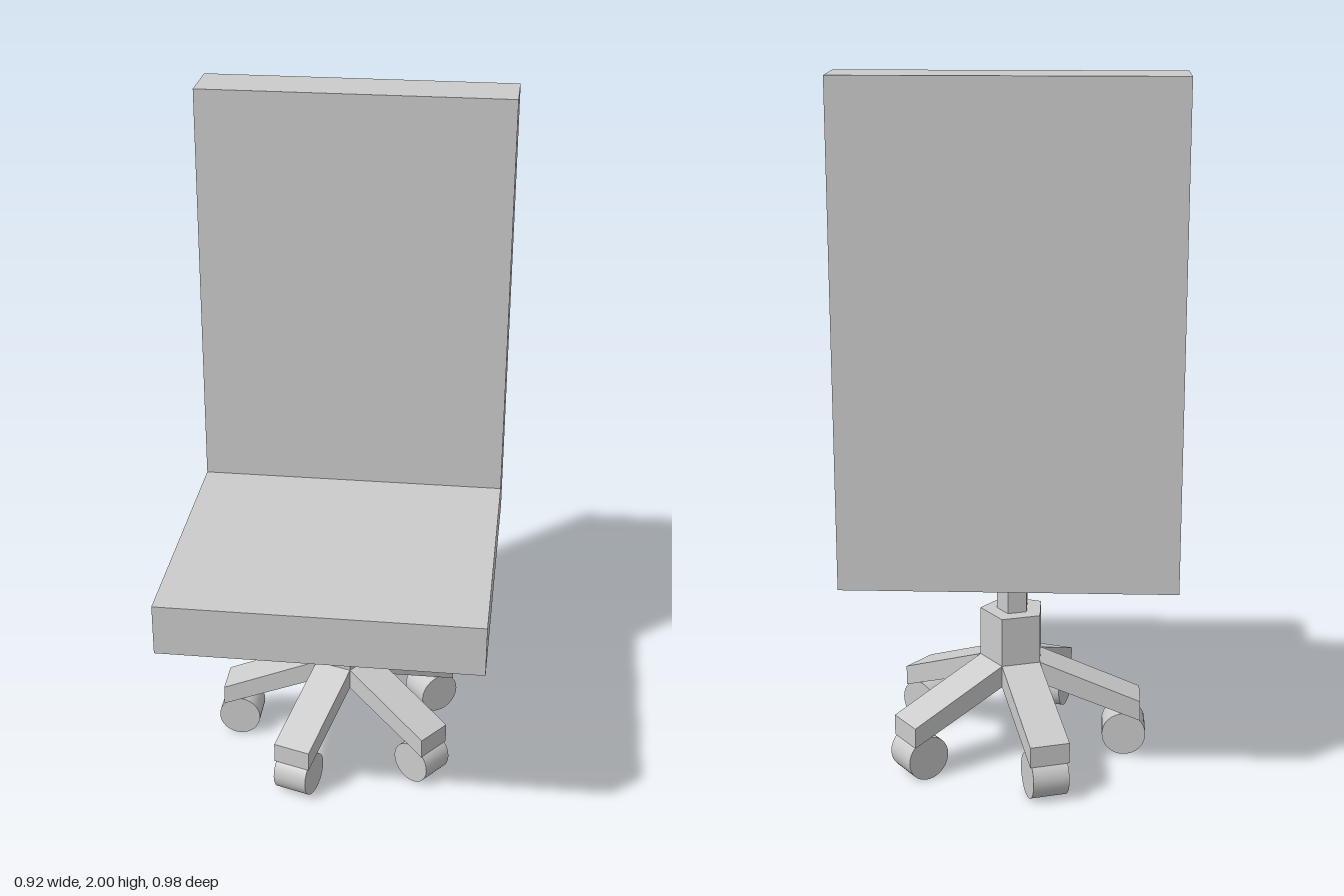
import * as THREE from 'three';

const material = new THREE.MeshStandardMaterial({ color: 0xcccccc });
const flatMaterial = new THREE.MeshStandardMaterial({ color: 0xcccccc, flatShading: true });

function addMesh(parent, name, geometry, mat = flatMaterial) {
  const mesh = new THREE.Mesh(geometry, mat);
  mesh.name = name;
  parent.add(mesh);
  return mesh;
}

// Extrude an x-y outline along z, centred on z = 0
function slab(points, width) {
  const shape = new THREE.Shape(points.map(([x, y]) => new THREE.Vector2(x, y)));
  const geometry = new THREE.ExtrudeGeometry(shape, { depth: width, bevelEnabled: false });
  return geometry.translate(0, 0, -width / 2);
}

// Five-sided upright prism with one corner pointing to +x
function pentagon(radius, bottom, top) {
  return new THREE.CylinderGeometry(radius, radius, top - bottom, 5)
    .rotateY(Math.PI / 2)
    .translate(0, (bottom + top) / 2, 0);
}

export function createModel() {
  const chair = new THREE.Group();
  chair.name = 'officeChair';

  // Seat and backrest form one L-shaped block
  const seat = slab([
    [-0.49, 0.635], [0.49, 0.635], [0.49, 0.785],
    [-0.32, 0.785], [-0.32, 2], [-0.49, 2],
  ], 0.916);
  addMesh(chair, 'seatAndBackrest', seat.rotateY(-Math.PI / 2));

  // Base sits slightly behind the middle of the seat
  const base = new THREE.Group();
  base.name = 'base';
  base.position.z = -0.1;
  chair.add(base);

  // Stepped pentagonal column
  const hubRadius = 0.097;
  addMesh(base, 'hub', pentagon(hubRadius, 0.225, 0.435));
  addMesh(base, 'column', pentagon(0.048, 0.435, 0.575));
  addMesh(base, 'seatMount', pentagon(0.067, 0.575, 0.635));

  // One sloping leg with a wheel on each face of the hub
  const inner = hubRadius * Math.cos(Math.PI / 5);
  const legWidth = 2 * hubRadius * Math.sin(Math.PI / 5);
  const legGeometry = slab([
    [inner, 0.225], [0.372, 0.11], [0.372, 0.17], [inner, 0.29],
  ], legWidth);
  const wheelGeometry = new THREE.CylinderGeometry(0.064, 0.064, 0.104, 32).rotateX(Math.PI / 2);

  for (let i = 0; i < 5; i++) {
    const leg = new THREE.Group();
    leg.name = `legAssembly${i + 1}`;
    leg.rotation.y = ((2 * i + 1) * Math.PI) / 5;
    addMesh(leg, 'leg', legGeometry);
    addMesh(leg, 'wheel', wheelGeometry, material).position.set(0.325, 0.064, 0);
    base.add(leg);
  }

  return chair;
}
